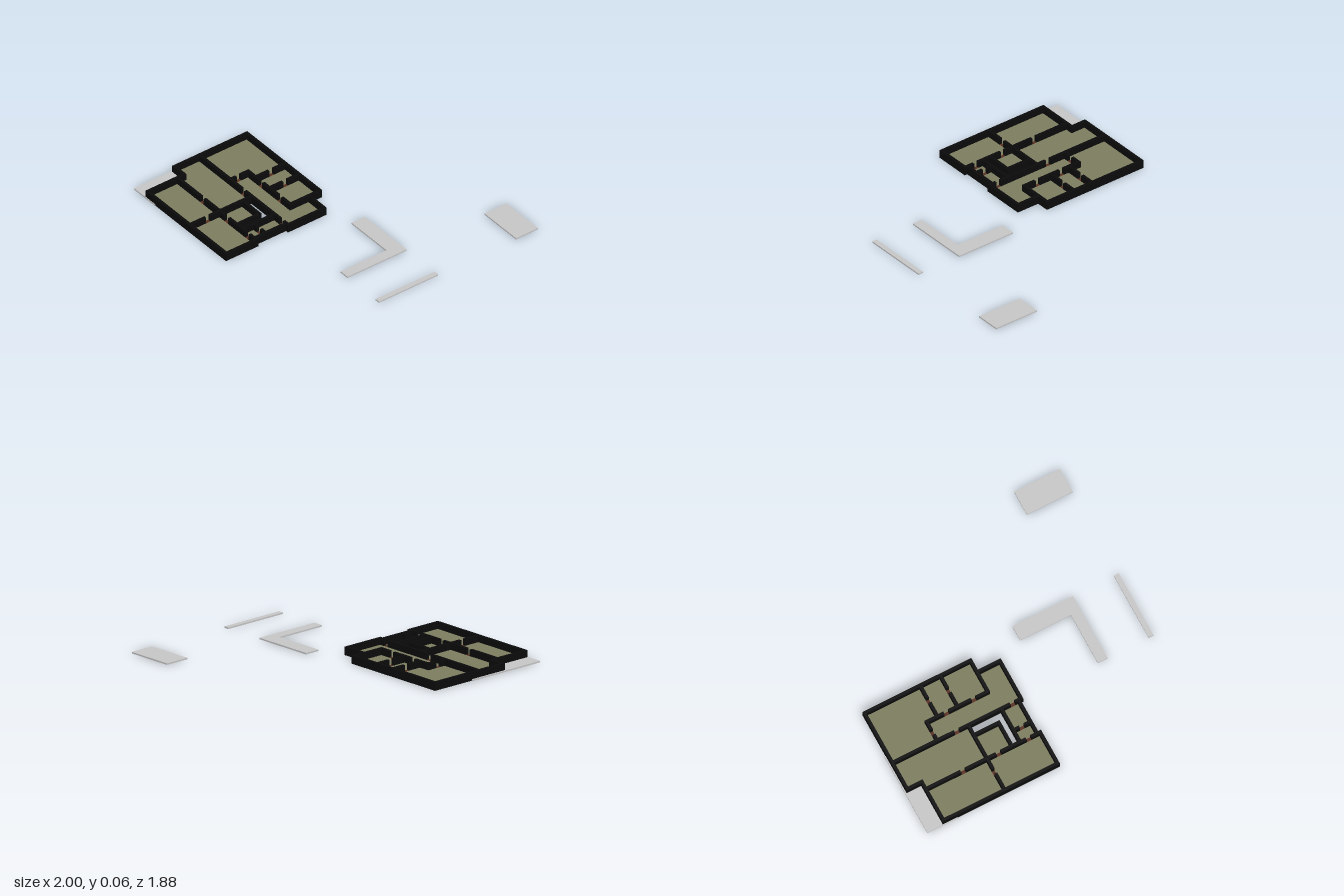
import * as THREE from 'three';

const wallMat = new THREE.MeshStandardMaterial({ color: 0x0b0b0b, name: 'wall black' });
const floorMat = new THREE.MeshStandardMaterial({ color: 0x7d7d60, name: 'floor olive' });
const slabMat = new THREE.MeshStandardMaterial({ color: 0xc8c8c8, name: 'paving grey' });
const doorMat = new THREE.MeshStandardMaterial({ color: 0x5a3022, name: 'threshold brown' });

const T = 0.022;      // wall thickness
const H = 0.06;       // wall height
const DOOR = 0.036;   // doorway width

// Flat plate from a right-angled outline of [x, z] points, shrunk by inset
function plate(name, mat, pts, y0, y1, inset = 0) {
  const n = pts.length;
  const dir = (a, b) => new THREE.Vector2(b[0] - a[0], b[1] - a[1]).normalize();
  const outline = pts.map((p, i) => {
    const d1 = dir(pts[(i + n - 1) % n], p), d2 = dir(p, pts[(i + 1) % n]);
    return new THREE.Vector2(p[0] - inset * (d1.y + d2.y), p[1] + inset * (d1.x + d2.x));
  });
  const geo = new THREE.ExtrudeGeometry(new THREE.Shape(outline), { depth: y1 - y0, bevelEnabled: false });
  geo.rotateX(Math.PI / 2).translate(0, y1, 0);
  const mesh = new THREE.Mesh(geo, mat);
  mesh.name = name;
  return mesh;
}

const rect = (x0, z0, x1, z1) => [[x0, z0], [x1, z0], [x1, z1], [x0, z1]];

function block(name, mat, x0, x1, y0, y1, z0, z1) {
  const mesh = new THREE.Mesh(new THREE.BoxGeometry(x1 - x0, y1 - y0, z1 - z0), mat);
  mesh.position.set((x0 + x1) / 2, (y0 + y1) / 2, (z0 + z1) / 2);
  mesh.name = name;
  return mesh;
}

// Straight wall on a centre line, broken by doorways with brown thresholds
function wall(axis, at, from, to, doors = []) {
  const g = new THREE.Group();
  g.name = 'wall';
  const add = (name, mat, a, b, y0, y1) => g.add(axis === 'x'
    ? block(name, mat, a, b, y0, y1, at - T / 2, at + T / 2)
    : block(name, mat, at - T / 2, at + T / 2, y0, y1, a, b));
  let start = from - T / 2;
  for (const d of doors) {
    add('wallPiece', wallMat, start, d - DOOR / 2, 0.001, H);
    add('threshold', doorMat, d - DOOR / 2, d + DOOR / 2, 0.001, 0.014);
    start = d + DOOR / 2;
  }
  add('wallPiece', wallMat, start, to + T / 2, 0.001, H);
  return g;
}

export function createModel() {
  const model = new THREE.Group();
  model.name = 'floorPlan';

  // Walls running along x: z, start, end, doorways
  const walls = new THREE.Group();
  walls.name = 'walls';
  [
    [0, -0.98, -0.176],
    [0.095, -0.176, -0.003],
    [0.25, -0.64, -0.176, [-0.492, -0.285]],
    [0.4, -0.98, -0.003, [-0.492, -0.07]],
    [0.48, -0.405, -0.216],
    [0.575, -0.154, -0.024, [-0.092]],
    [0.613, -0.98, -0.87],
    [0.67, -0.87, -0.003, [-0.588, -0.32, -0.092]],
    [0.923, -0.87, -0.003],
  ].forEach(([z, a, b, d]) => walls.add(wall('x', z, a, b, d)));

  // Walls running along z: x, start, end, doorways
  [
    [-0.98, 0, 0.613],
    [-0.87, 0.613, 0.923],
    [-0.64, 0.25, 0.4, [0.335]],
    [-0.558, 0, 0.25, [0.122]],
    [-0.405, 0, 0.25, [0.122]],
    [-0.405, 0.4, 0.923, [0.775]],
    [-0.216, 0.48, 0.67],
    [-0.176, 0, 0.25],
    [-0.154, 0.4, 0.67],
    [-0.024, 0.4, 0.67],
    [-0.003, 0.095, 0.4],
    [-0.003, 0.67, 0.923],
  ].forEach(([x, a, b, d]) => walls.add(wall('z', x, a, b, d)));
  model.add(walls);

  // Room floors, outlined on the wall centre lines
  const floors = new THREE.Group();
  floors.name = 'floors';
  [
    [[-0.98, 0], [-0.558, 0], [-0.558, 0.25], [-0.64, 0.25], [-0.64, 0.4], [-0.98, 0.4]],
    rect(-0.558, 0, -0.405, 0.25),
    rect(-0.405, 0, -0.176, 0.25),
    [[-0.176, 0.095], [-0.003, 0.095], [-0.003, 0.4], [-0.64, 0.4], [-0.64, 0.25], [-0.176, 0.25]],
    [[-0.98, 0.4], [-0.405, 0.4], [-0.405, 0.67], [-0.87, 0.67], [-0.87, 0.613], [-0.98, 0.613]],
    rect(-0.405, 0.48, -0.216, 0.67),
    rect(-0.154, 0.4, -0.024, 0.575),
    rect(-0.154, 0.575, -0.024, 0.67),
    rect(-0.87, 0.67, -0.405, 0.923),
    rect(-0.405, 0.67, -0.003, 0.923),
  ].forEach((p) => floors.add(plate('roomFloor', floorMat, p, 0, 0.013, 0.007)));
  model.add(floors);

  // Loose paving slabs around the house
  const paving = new THREE.Group();
  paving.name = 'paving';
  [
    rect(-1, 0.325, -0.77, 0.938),
    rect(0.652, -0.94, 1, -0.755),
    [[0.192, -0.097], [0.652, -0.097], [0.652, 0.402], [0.577, 0.402], [0.577, 0.015], [0.192, 0.015]],
    rect(0.962, -0.097, 1, 0.402),
  ].forEach((p) => paving.add(plate('pavingSlab', slabMat, p, 0.0005, 0.0115)));
  model.add(paving);

  return model;
}
